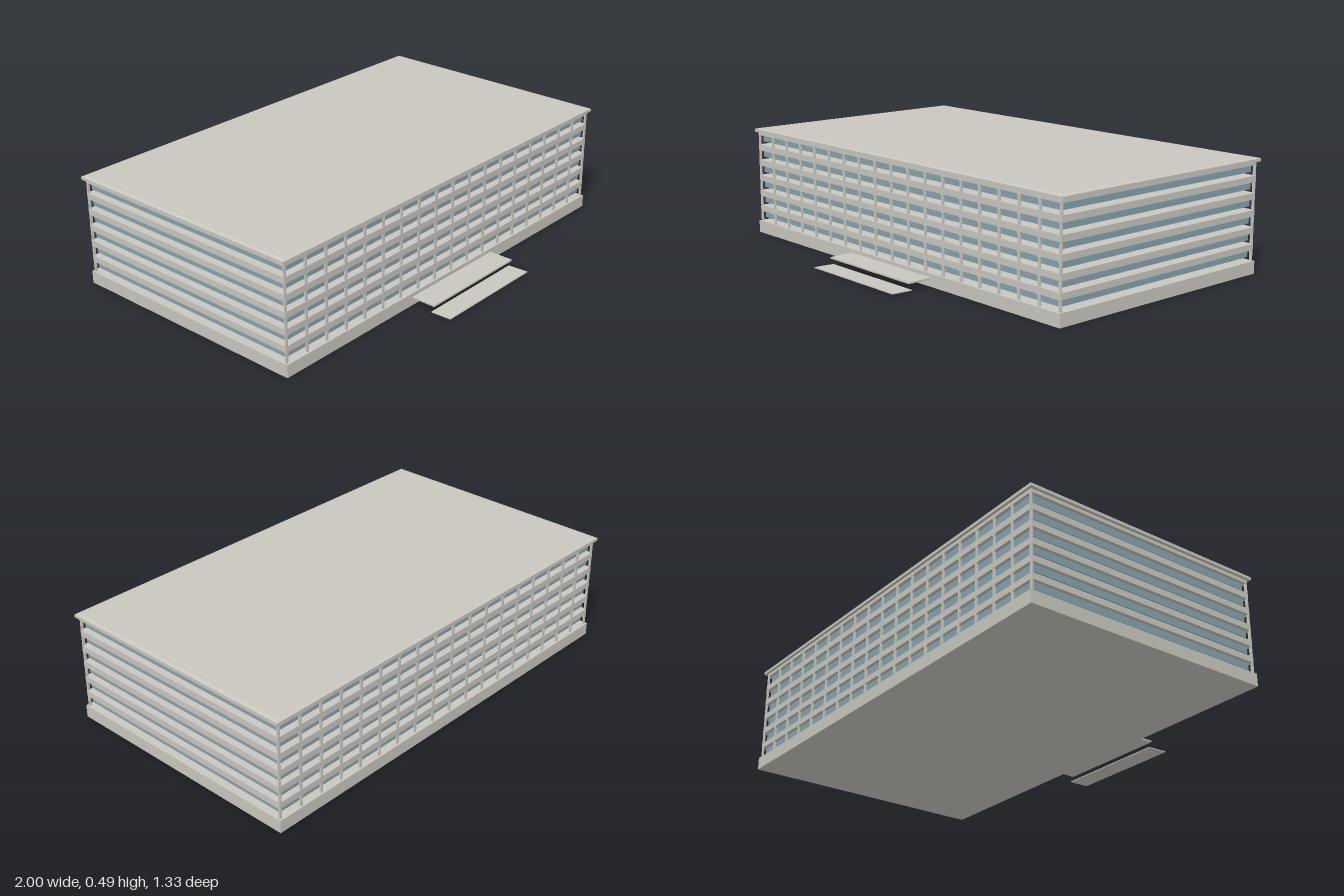
import * as THREE from 'three';

const concrete = new THREE.MeshStandardMaterial({ color: 0xc8c6be });
concrete.name = 'concrete';
const glass = new THREE.MeshStandardMaterial({ color: 0x86a2ae });
glass.name = 'glass';

const CZ = -0.094;      // centre of the main block in z
const STOREYS = 6;
const PITCH = 0.0715;   // storey height
const BAYS = 18;
const BAY = 0.109;

// Box from bottom y to top y; topX and topZ scale its upper face for tapers
function block(name, material, w, y0, y1, d, x, z, topX = 1, topZ = 1) {
  const g = new THREE.BoxGeometry(w, y1 - y0, d);
  const p = g.attributes.position;
  for (let i = 0; i < p.count; i++) {
    if (p.getY(i) > 0) {
      p.setX(i, p.getX(i) * topX);
      p.setZ(i, p.getZ(i) * topZ);
    }
  }
  g.computeVertexNormals();
  const m = new THREE.Mesh(g, material);
  m.name = name;
  m.position.set(x, (y0 + y1) / 2, z);
  return m;
}

export function createModel() {
  const model = new THREE.Group();
  model.name = 'officeBuilding';

  // Plinth
  model.add(block('plinth', concrete, 1.984, 0, 0.055, 1.13, 0, CZ));

  for (let s = 0; s < STOREYS; s++) {
    const storey = new THREE.Group();
    storey.name = 'storey';
    const dy = s * PITCH;
    const slabY = 0.101 + dy;
    const slabTop = s === STOREYS - 1 ? 0.473 : slabY + 0.027;

    // Floor slab whose edge forms the spandrel band
    storey.add(block('floorSlab', concrete, 1.974, slabY, slabTop, 1.114, 0, CZ));

    // Ribbon windows hung below the slab on all four sides
    for (const side of [-1, 1]) {
      storey.add(block('longWindow', glass, 1.944, 0.071 + dy, slabY, 0.006, 0, CZ + side * 0.539));
      storey.add(block('endWindow', glass, 0.006, 0.071 + dy, slabY, 1.072, side * 0.969, CZ));

      // Slim columns with flared heads along the front and back
      const footY = s === 0 ? 0.055 : 0.128 + dy - PITCH;
      for (let b = 0; b <= BAYS; b++) {
        const x = (b - BAYS / 2) * BAY;
        const z = CZ + side * 0.553;
        storey.add(block('column', concrete, 0.011, footY, slabY, 0.007, x, z));
        if (b > 0 && b < BAYS) {
          storey.add(block('columnHead', concrete, 0.011, slabY - 0.006, slabY, 0.007, x, z, 2.2));
        }
      }
    }
    model.add(storey);
  }

  // Overhanging roof with a slightly raised top
  model.add(block('roofSlab', concrete, 2, 0.473, 0.486, 1.137, 0, CZ));
  model.add(block('roofTop', concrete, 2, 0.486, 0.49, 1.137, 0, CZ, 0.985, 0.974));

  // Entrance canopy and the shallow ramp plate before it
  model.add(block('entranceCanopy', concrete, 0.53, 0.032, 0.039, 0.12, 0, 0.523));
  const ramp = block('entranceRamp', concrete, 0.53, 0.004, 0.008, 0.096, 0, 0.617);
  ramp.rotation.x = -0.03;
  model.add(ramp);

  return model;
}
